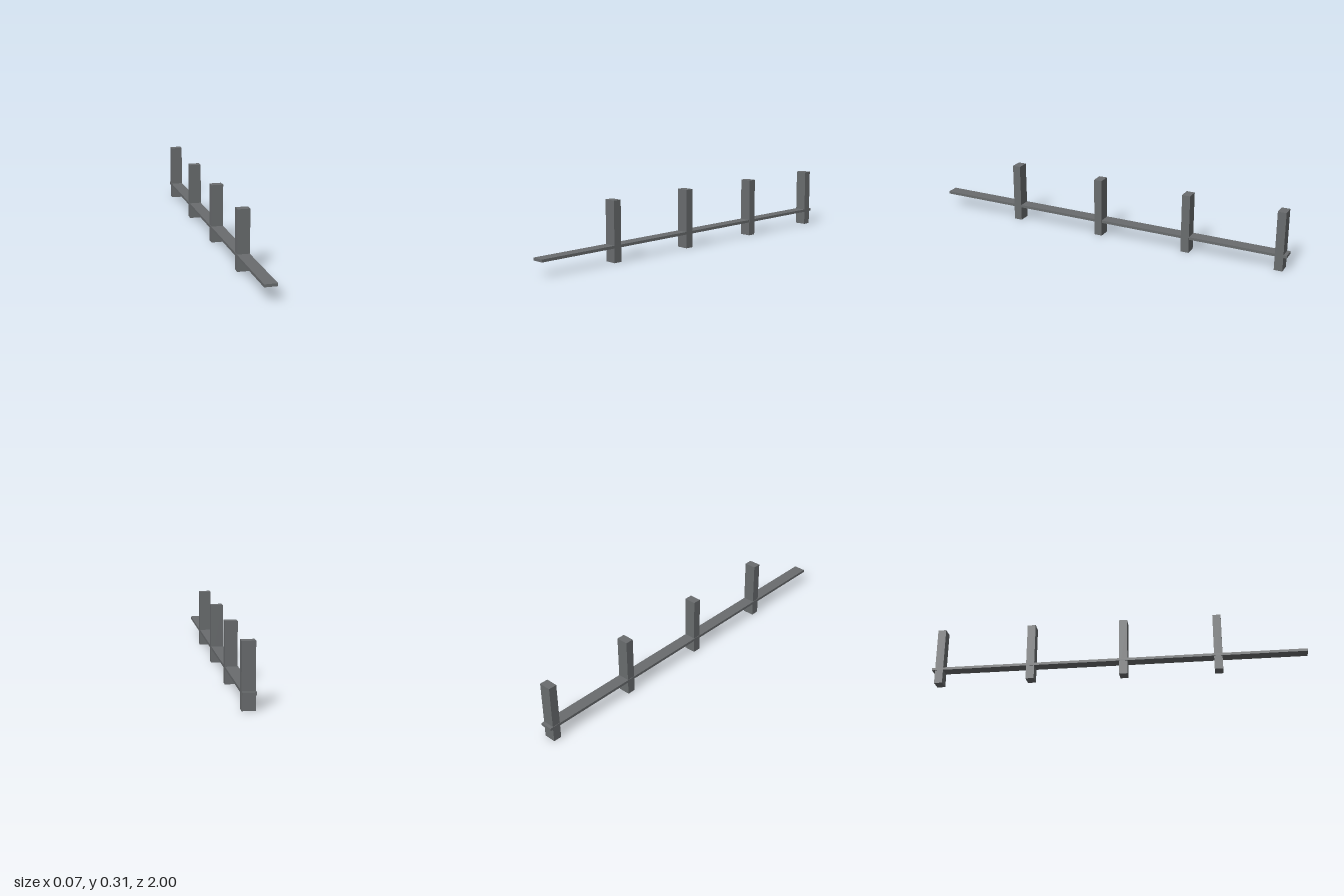
import * as THREE from 'three';

export function createModel() {
  const model = new THREE.Group();
  model.name = 'railFence';

  const grey = new THREE.MeshStandardMaterial({ color: 0x696c6e });
  grey.name = 'weathered grey';

  // Adds a box spanning the given minimum and maximum corners
  function addBox(name, min, max) {
    const size = max.map((v, i) => v - min[i]);
    const mesh = new THREE.Mesh(new THREE.BoxGeometry(...size), grey);
    mesh.position.set(...max.map((v, i) => (v + min[i]) / 2));
    mesh.name = name;
    model.add(mesh);
  }

  // Long flat rail running through all the posts, slightly proud on one side
  addBox('rail', [-0.033, 0.074, -1], [0.0315, 0.088, 1]);

  // Four evenly spaced upright posts
  const depth = 0.044;
  for (let i = 0; i < 4; i++) {
    const z = 0.539 - i * 0.5;
    addBox(`post${i + 1}`, [-0.0305, 0, z - depth / 2], [0.0325, 0.313, z + depth / 2]);
  }

  return model;
}
